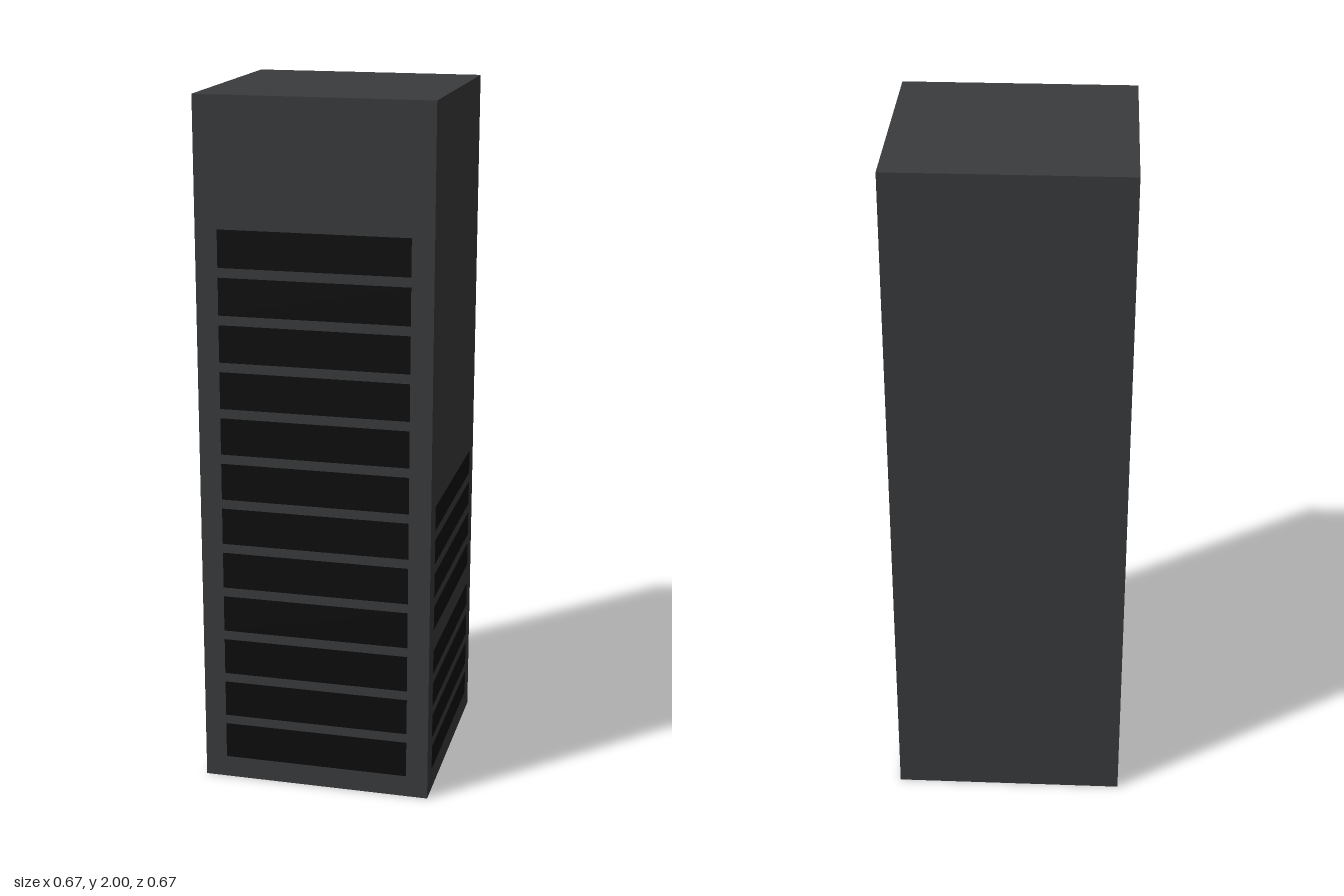
import * as THREE from 'three';

export function createModel() {
  const model = new THREE.Group();
  const W = 0.666, H = 2;
  const casing = new THREE.MeshStandardMaterial({ color: 0x3a3b3d });
  const dark = new THREE.MeshStandardMaterial({ color: 0x0d0d0d });

  // Plain square tower
  const body = new THREE.Mesh(new THREE.BoxGeometry(W, H, W), casing);
  body.name = 'cabinet';
  body.position.y = H / 2;
  model.add(body);

  // A bank of thin dark slots lying on one face, turned to it about y
  function slotBank(name, angle, height, centres) {
    const bank = new THREE.Group();
    bank.name = name;
    const geometry = new THREE.BoxGeometry(0.54, height, 0.01);
    for (const y of centres) {
      const slot = new THREE.Mesh(geometry, dark);
      slot.name = 'slot';
      slot.position.set(0, y, W / 2 - 0.004);
      bank.add(slot);
    }
    bank.rotation.y = angle;
    model.add(bank);
  }

  // Twelve tall slots on the front
  const frontCentres = Array.from({ length: 12 }, (_, i) => 0.117 + i * 0.1334);
  slotBank('frontSlots', 0, 0.106, frontCentres);

  // Two groups of four narrow vents on each side
  const sideCentres = [0.1, 0.535].flatMap((y) => [0, 1, 2, 3].map((i) => y + i * 0.1));
  slotBank('leftVents', Math.PI / 2, 0.07, sideCentres);
  slotBank('rightVents', -Math.PI / 2, 0.07, sideCentres);

  return model;
}
